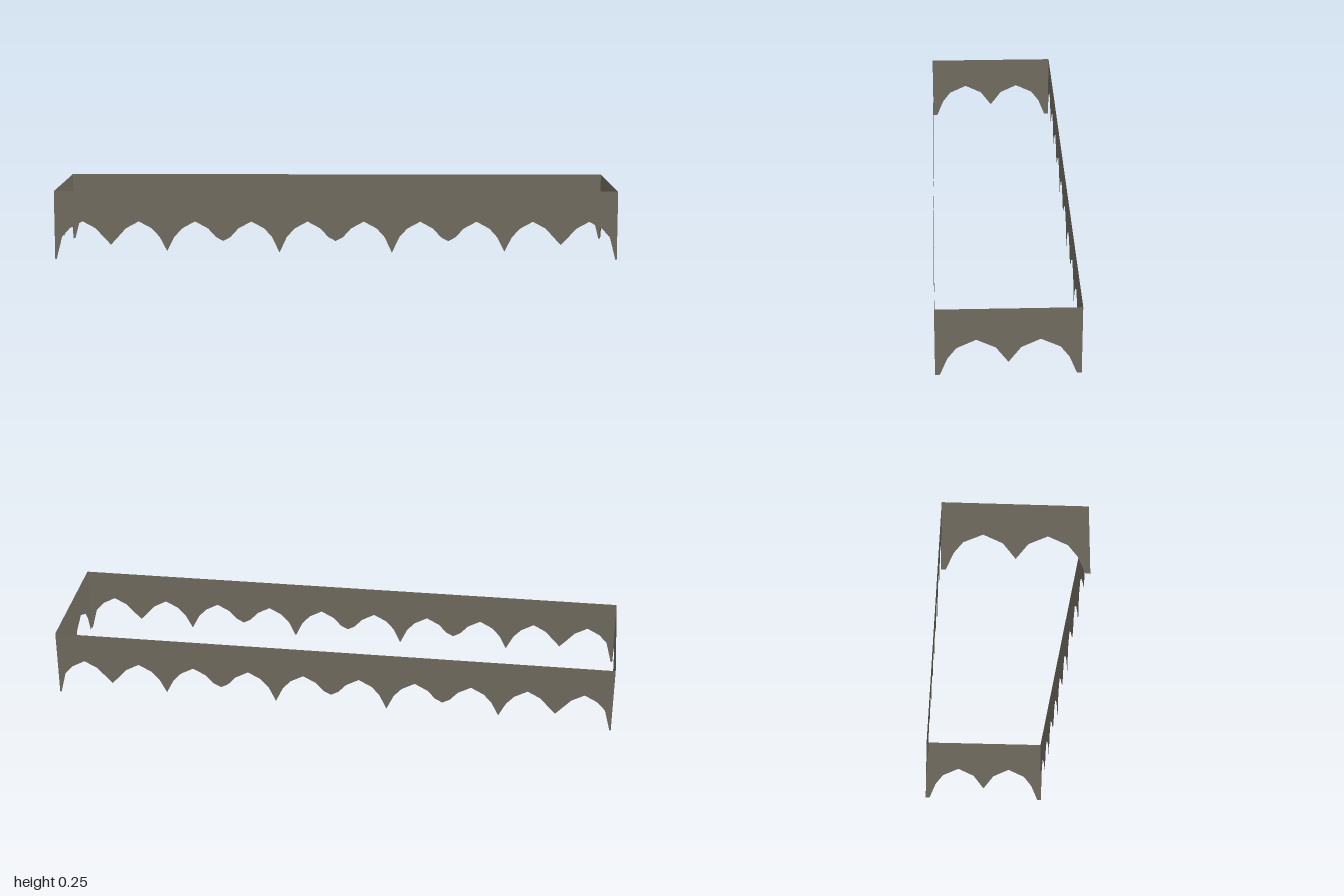
import * as THREE from 'three';

const HALF_X = 1, HALF_Z = 0.238, TOP = 0.245;

// Flat panel: straight top edge, lower edge following the given points from left to right
function panelGeometry(half, lowerEdge) {
  const shape = new THREE.Shape();
  shape.moveTo(half, TOP);
  shape.lineTo(-half, TOP);
  lowerEdge.forEach(([x, y]) => shape.lineTo(x, y));
  shape.closePath();
  return new THREE.ShapeGeometry(shape);
}

// Long panel: ten arches between cusps of varying depth
function longEdge() {
  const cusps = [0, 0.053, 0.03, 0.067, 0.025, 0.067, 0.025, 0.067, 0.03, 0.053, 0];
  const arch = [[-0.074, 0.081], [-0.046, 0.112], [0, 0.137], [0.046, 0.112], [0.074, 0.081]];
  const points = [[-1, 0]];
  for (let i = 0; i < 10; i++) {
    const centre = -0.9 + i * 0.2;
    if (i === 0) points.push([-0.995, 0]);
    arch.forEach(([x, y]) => points.push([centre + x, y]));
    if (i === 9) points.push([0.995, 0]);
    points.push([centre + 0.1, cusps[i + 1]]);
  }
  return points;
}

// End panel: two arches, mirrored about the middle cusp
function endEdge() {
  const half = [[HALF_Z, 0], [0.222, 0], [0.198, 0.06], [0.168, 0.1], [0.104, 0.13], [0.041, 0.1]];
  return [...half.map(([x, y]) => [-x, y]), [0, 0.045], ...half.reverse()];
}

export function createModel() {
  const group = new THREE.Group();
  group.name = 'scallopedValance';
  const cloth = new THREE.MeshStandardMaterial({ color: 0x757063, side: THREE.DoubleSide });
  cloth.name = 'greyBrown';

  const longPanel = panelGeometry(HALF_X, longEdge());
  const endPanel = panelGeometry(HALF_Z, endEdge());

  // Four panels, each facing outwards
  const panels = [
    ['frontPanel', longPanel, 0, HALF_Z, 0],
    ['backPanel', longPanel, 0, -HALF_Z, Math.PI],
    ['leftPanel', endPanel, HALF_X, 0, Math.PI / 2],
    ['rightPanel', endPanel, -HALF_X, 0, -Math.PI / 2],
  ];
  for (const [name, geometry, x, z, turn] of panels) {
    const mesh = new THREE.Mesh(geometry, cloth);
    mesh.name = name;
    mesh.position.set(x, 0, z);
    mesh.rotation.y = turn;
    group.add(mesh);
  }
  return group;
}
